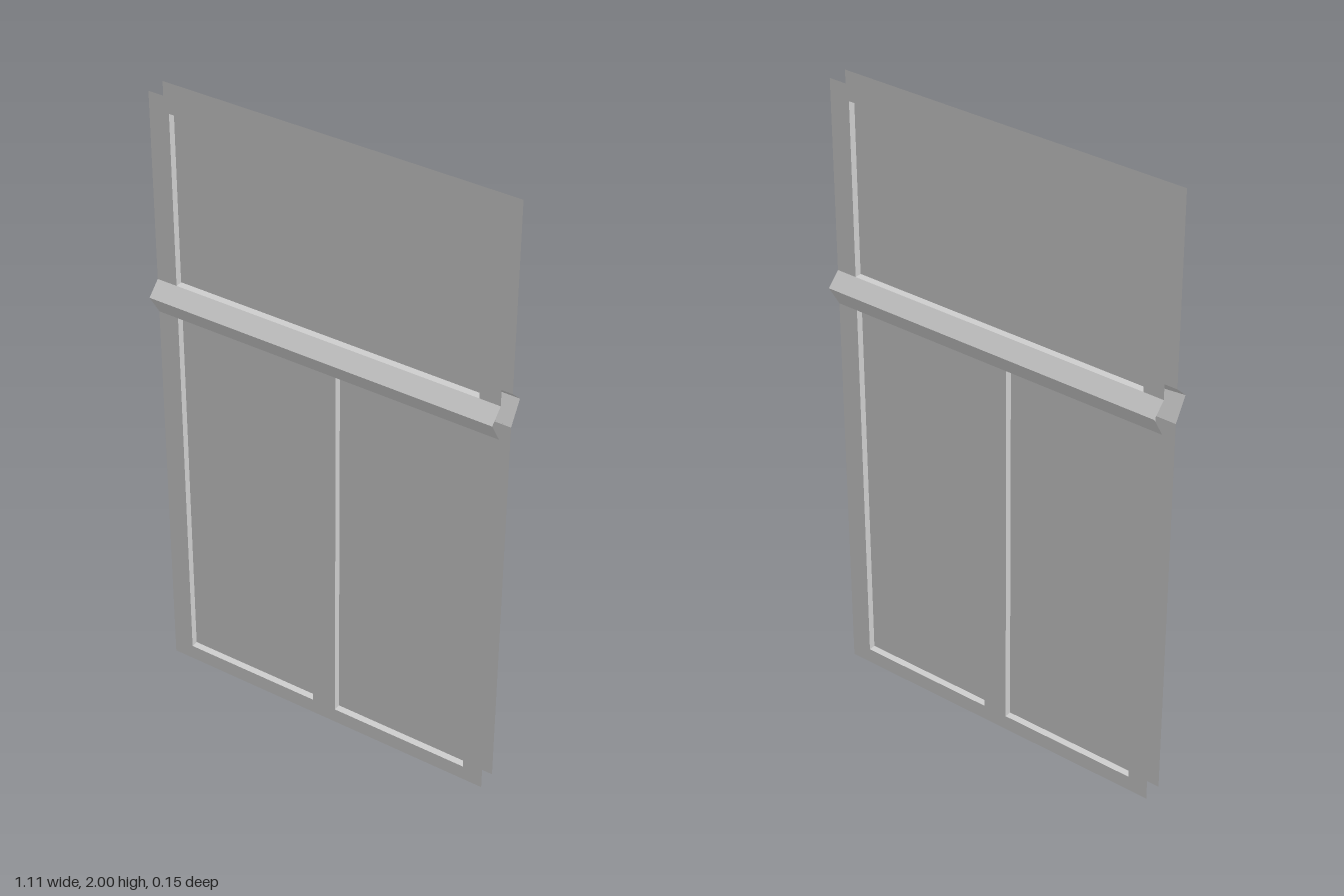
import * as THREE from 'three';

const W = 0.555;      // half width of frame
const IN = 0.49;      // half width of openings
const MUL = 0.04;     // half width of mullion
const D = 0.032;      // half depth between the two frame faces
const APEX = 0.074;   // how far the ridge of the drip rail stands out
const BOT = 0.05, RAIL0 = 1.29, RIDGE = 1.36, RAIL1 = 1.4, TOP = 1.95, H = 2;

export function createModel() {
  const model = new THREE.Group();
  model.name = 'window';
  const grey = new THREE.MeshStandardMaterial({ color: 0xcccccc, side: THREE.DoubleSide });
  grey.name = 'paleGrey';

  const add = (name, geometry, parent = model) => {
    const mesh = new THREE.Mesh(geometry, grey);
    mesh.name = name;
    parent.add(mesh);
    return mesh;
  };

  // flat-shaded surface from a list of triangles' corners
  const faces = (corners) => {
    const g = new THREE.BufferGeometry();
    g.setAttribute('position', new THREE.Float32BufferAttribute(corners.flat(), 3));
    g.computeVertexNormals();
    return g;
  };

  // open ribbon: a polyline swept from a to b, place(u, v, t) gives the 3D point
  const ribbon = (points, a, b, place) => {
    const corners = [];
    for (let i = 0; i + 1 < points.length; i++) {
      const p = place(...points[i], a), q = place(...points[i + 1], a);
      const r = place(...points[i + 1], b), s = place(...points[i], b);
      corners.push(p, q, r, p, r, s);
    }
    return faces(corners);
  };

  const outline = (pts) => new THREE.Shape(pts.map(([x, y]) => new THREE.Vector2(x, y)));

  // openings, each traced on the three sides away from the rail
  const openings = {
    transom: [[IN, RAIL1], [IN, TOP], [-IN, TOP], [-IN, RAIL1]],
    rightCasement: [[-IN, RAIL0], [-IN, BOT], [-MUL, BOT], [-MUL, RAIL0]],
    leftCasement: [[MUL, RAIL0], [MUL, BOT], [IN, BOT], [IN, RAIL0]],
  };
  const upper = outline([[W, RAIL1], [W, H], [-W, H], [-W, RAIL1],
    ...[...openings.transom].reverse()]);
  const lower = outline([[-W, 0], [W, 0], [W, RAIL0],
    ...[...openings.leftCasement].reverse(),
    ...[...openings.rightCasement].reverse(), [-W, RAIL0]]);

  // front and back faces of the frame, each with its drip rail
  for (const [label, side] of [['front', 1], ['back', -1]]) {
    const group = new THREE.Group();
    group.name = label + 'Side';
    model.add(group);
    for (const [part, shape] of [['UpperFrame', upper], ['LowerFrame', lower]]) {
      const mesh = add(label + part, new THREE.ShapeGeometry(shape), group);
      if (side < 0) mesh.rotation.y = Math.PI;
      mesh.position.z = side * D;
    }
    // hollow ridged rail, open at its ends
    const profile = [[D, RAIL1], [APEX, RIDGE], [D, RAIL0]];
    add(label + 'DripRail', ribbon(profile, side * -W, side * W,
      (z, y, x) => [x, y, side * z]), group);
    // long brace inside the rail
    add(label + 'RailBrace', faces([
      [-W, RIDGE, side * APEX], [-W, RAIL1, side * D], [W, RAIL0, side * D]]), group);
  }

  // reveals and panes
  for (const [name, path] of Object.entries(openings)) {
    add(name + 'Reveal', ribbon(path, D, -D, (x, y, z) => [x, y, z]));
    const xs = path.map((p) => p[0]), ys = path.map((p) => p[1]);
    const x0 = Math.min(...xs), x1 = Math.max(...xs);
    const y0 = Math.min(...ys), y1 = Math.max(...ys);
    const pane = add(name + 'Pane', new THREE.BoxGeometry(x1 - x0, y1 - y0, 0.02));
    pane.position.set((x0 + x1) / 2, (y0 + y1) / 2, 0);
  }

  // core of the cross rail between the openings
  const core = add('crossRail', new THREE.BoxGeometry(2 * IN, RAIL1 - RAIL0, 2 * D));
  core.position.y = (RAIL0 + RAIL1) / 2;

  return model;
}
